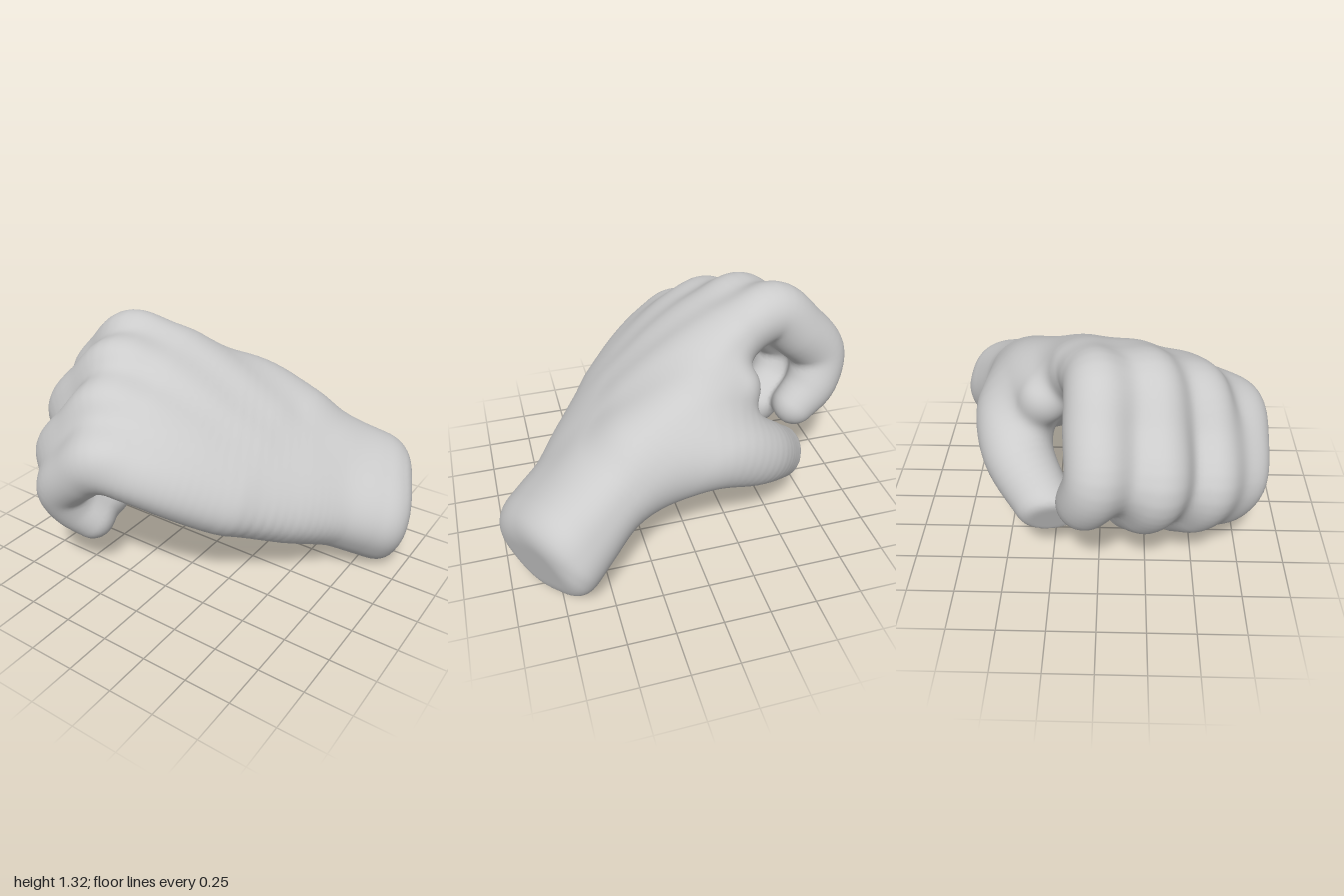
import * as THREE from 'three';

const V = (a) => new THREE.Vector3(a[0], a[1], a[2]);

// Smooth union and smooth intersection of two distances
const blend = (a, b, k) => Math.min(a, b) - Math.max(k - Math.abs(a - b), 0) ** 2 / (4 * k);
const cut = (a, b, k) => -blend(-a, -b, k);

function plane(point, normal) {
  const p = new THREE.Plane().setFromNormalAndCoplanarPoint(V(normal).normalize(), V(point));
  return (q) => p.distanceToPoint(q);
}

// Distance to a limb through stations [x, y, z, half width, half thickness].
// Without a width axis its sections are round.
function limb(stations, widthAxis, steps = 40) {
  const path = new THREE.CatmullRomCurve3(stations.map(V));
  const size = new THREE.CatmullRomCurve3(stations.map((s) => V([s[3], s[4] ?? s[3], 0])));
  const box = new THREE.Box3().setFromPoints(stations.map(V)).expandByScalar(Math.max(...stations.map((s) => s[3])));
  const segments = [];
  for (let i = 0; i < steps; i++) {
    const a = path.getPoint(i / steps), b = path.getPoint((i + 1) / steps);
    const t = b.clone().sub(a), length = t.length();
    t.normalize();
    const u = V(widthAxis ?? [0, 0, 1]);
    u.addScaledVector(t, -u.dot(t)).normalize();
    const v = t.clone().cross(u);
    segments.push({ a, t, u, v, length, r0: size.getPoint(i / steps), r1: size.getPoint((i + 1) / steps) });
  }
  const d = new THREE.Vector3();
  const power = 2.4;
  return (p) => {
    const far = box.distanceToPoint(p);
    if (far > 0.17) return far;
    let best = Infinity;
    for (const s of segments) {
      d.subVectors(p, s.a);
      const h = THREE.MathUtils.clamp(d.dot(s.t), 0, s.length);
      d.addScaledVector(s.t, -h);
      const f = h / s.length, len = d.length();
      const ru = s.r0.x + (s.r1.x - s.r0.x) * f;
      let dist = len - ru;
      if (widthAxis) {
        const rv = s.r0.y + (s.r1.y - s.r0.y) * f;
        const q = (Math.abs(d.dot(s.u) / ru) ** power + Math.abs(d.dot(s.v) / rv) ** power
          + Math.abs(d.dot(s.t) / rv) ** power) ** (1 / power);
        dist = q < 1e-4 ? -rv : (q - 1) * len / q;
      }
      best = Math.min(best, dist);
    }
    return best;
  };
}

// Wrist stump widening into the palm, ending under the knuckles
const palm = limb([
  [0.96, 0.20, -0.69, 0.36, 0.27],
  [0.82, 0.28, -0.56, 0.36, 0.27],
  [0.69, 0.355, -0.46, 0.37, 0.26],
  [0.55, 0.44, -0.35, 0.39, 0.24],
  [0.345, 0.575, -0.16, 0.47, 0.235],
  [0.075, 0.755, 0.09, 0.535, 0.215],
  [-0.16, 0.895, 0.25, 0.54, 0.175],
  [-0.32, 0.95, 0.31, 0.48, 0.14],
], [0.38, -0.46, 0.79], 56);
const wristEnd = plane([0.87, 0.27, -0.605], [0.82, -0.22, -0.52]);

// Web of flesh between thumb and index finger
const web = limb([[0.28, 0.72, -0.4, 0.15], [0.02, 0.84, -0.37, 0.16], [-0.26, 0.89, -0.28, 0.13]]);

// Thumb with its fleshy base, cut flat at the tip
const thumb = limb([
  [0.46, 0.5, -0.4, 0.2], [0.2, 0.6, -0.42, 0.22], [-0.08, 0.67, -0.455, 0.215],
  [-0.32, 0.575, -0.425, 0.185], [-0.5, 0.43, -0.3, 0.155], [-0.6, 0.345, -0.21, 0.14], [-0.7, 0.26, -0.12, 0.13],
]);
const thumbEnd = plane([-0.585, 0.35, -0.22], [-0.9, -0.38, 0.2]);

// Fingers: from inside the palm over the knuckle, bent joint and curled tip
const index = limb([
  [0.2, 0.78, -0.14, 0.11], [-0.1, 0.97, -0.08, 0.14], [-0.36, 1.09, -0.04, 0.155], [-0.56, 1.14, 0, 0.16],
  [-0.71, 1.01, 0, 0.158], [-0.85, 0.84, 0, 0.15], [-0.81, 0.68, -0.05, 0.14], [-0.7, 0.57, -0.085, 0.12],
]);
const middle = limb([
  [0.22, 0.7, 0.08, 0.11], [-0.03, 0.9, 0.15, 0.135], [-0.28, 1.04, 0.2, 0.15], [-0.46, 1.09, 0.25, 0.155],
  [-0.62, 0.94, 0.27, 0.158], [-0.78, 0.75, 0.28, 0.152], [-0.72, 0.58, 0.24, 0.14], [-0.57, 0.45, 0.16, 0.13],
]);
const ring = limb([
  [0.25, 0.62, 0.26, 0.11], [0.03, 0.8, 0.36, 0.135], [-0.18, 0.93, 0.44, 0.145], [-0.35, 0.97, 0.49, 0.15],
  [-0.49, 0.82, 0.53, 0.153], [-0.64, 0.64, 0.54, 0.147], [-0.6, 0.48, 0.49, 0.135], [-0.48, 0.36, 0.39, 0.13],
]);
const little = limb([
  [0.28, 0.55, 0.36, 0.11], [0.08, 0.69, 0.52, 0.135], [-0.08, 0.77, 0.62, 0.145], [-0.22, 0.8, 0.69, 0.155],
  [-0.36, 0.7, 0.71, 0.15], [-0.49, 0.56, 0.71, 0.137], [-0.48, 0.43, 0.66, 0.125], [-0.41, 0.33, 0.59, 0.115],
]);

const parts = {
  wristAndPalm: (p) => Math.min(palm(p), web(p)),
  thumb,
  indexFinger: index,
  middleFinger: middle,
  ringFinger: ring,
  littleFinger: little,
};

// The whole skin: the thumb and the fingers melt into the palm but not into each other
function skinDistance(p) {
  const base = blend(cut(palm(p), wristEnd(p), 0.17), web(p), 0.12);
  const thumbSide = blend(base, cut(thumb(p), thumbEnd(p), 0.04), 0.14);
  const fingers = [index, middle, ring, little].reduce((d, finger) => blend(d, finger(p), 0.13), base);
  return blend(thumbSide, fingers, 0.02);
}

// Direction of steepest increase, taken over a wide span for soft shading
function slope(p) {
  const e = 0.025, q = new THREE.Vector3();
  const along = (x, y, z) => skinDistance(q.set(p.x + x, p.y + y, p.z + z)) - skinDistance(q.set(p.x - x, p.y - y, p.z - z));
  return new THREE.Vector3(along(e, 0, 0), along(0, e, 0), along(0, 0, e)).normalize();
}

// Skin mesh: one vertex in each grid cell the surface crosses, one quad per crossed grid edge
function skinSurface(min, cells, step) {
  const stride = [1, cells[0], cells[0] * cells[1]];
  const total = stride[2] * cells[2];
  const at = (n) => new THREE.Vector3(
    n % cells[0], Math.floor(n / stride[1]) % cells[1], Math.floor(n / stride[2]),
  ).multiplyScalar(step).add(min);
  const values = new Float32Array(total);
  for (let n = 0; n < total; n++) values[n] = skinDistance(at(n));

  const corners = [0, 1, 2, 3, 4, 5, 6, 7].map((c) => (c & 1) + (c >> 1 & 1) * stride[1] + (c >> 2) * stride[2]);
  const ids = new Int32Array(total).fill(-1);
  const positions = [], normals = [], quads = [];
  for (let n = 0; n < total - corners[7]; n++) {
    const crossing = new THREE.Vector3();
    let count = 0;
    for (let c = 0; c < 8; c++) for (const bit of [1, 2, 4]) {
      if (c & bit) continue;
      const m0 = n + corners[c], m1 = n + corners[c | bit];
      if (values[m0] < 0 === values[m1] < 0) continue;
      crossing.add(at(m0).lerp(at(m1), values[m0] / (values[m0] - values[m1])));
      count++;
    }
    if (!count) continue;
    crossing.divideScalar(count);
    ids[n] = positions.length / 3;
    positions.push(...crossing.toArray());
    normals.push(...slope(crossing).toArray());
  }
  for (let n = corners[7]; n < total - corners[7]; n++) for (let axis = 0; axis < 3; axis++) {
    const inside = values[n] < 0;
    if (inside === values[n + stride[axis]] < 0) continue;
    const u = stride[(axis + 1) % 3], v = stride[(axis + 2) % 3];
    const quad = [n - u - v, n - v, n, n - u].map((m) => ids[m]);
    quads.push(inside ? quad : quad.reverse());
  }
  return { positions, normals, quads };
}

export function createModel() {
  const hand = new THREE.Group();
  hand.name = 'hand';
  const material = new THREE.MeshStandardMaterial({ color: 0xcccccc });
  const { positions, normals, quads } = skinSurface(V([-1.08, -0.08, -0.95]), [108, 74, 96], 0.02);

  // Share the skin out to the nearest part
  const names = Object.keys(parts);
  const faces = names.map(() => []);
  const corner = new THREE.Vector3();
  for (const [a, b, c, d] of quads) {
    const distances = names.map((name) => parts[name](corner.fromArray(positions, a * 3)));
    faces[distances.indexOf(Math.min(...distances))].push(a, b, c, a, c, d);
  }
  names.forEach((name, i) => {
    const geometry = new THREE.BufferGeometry();
    geometry.setAttribute('position', new THREE.Float32BufferAttribute(positions, 3));
    geometry.setAttribute('normal', new THREE.Float32BufferAttribute(normals, 3));
    geometry.setIndex(faces[i]);
    const mesh = new THREE.Mesh(geometry.toNonIndexed(), material);
    mesh.name = name;
    hand.add(mesh);
  });
  return hand;
}
